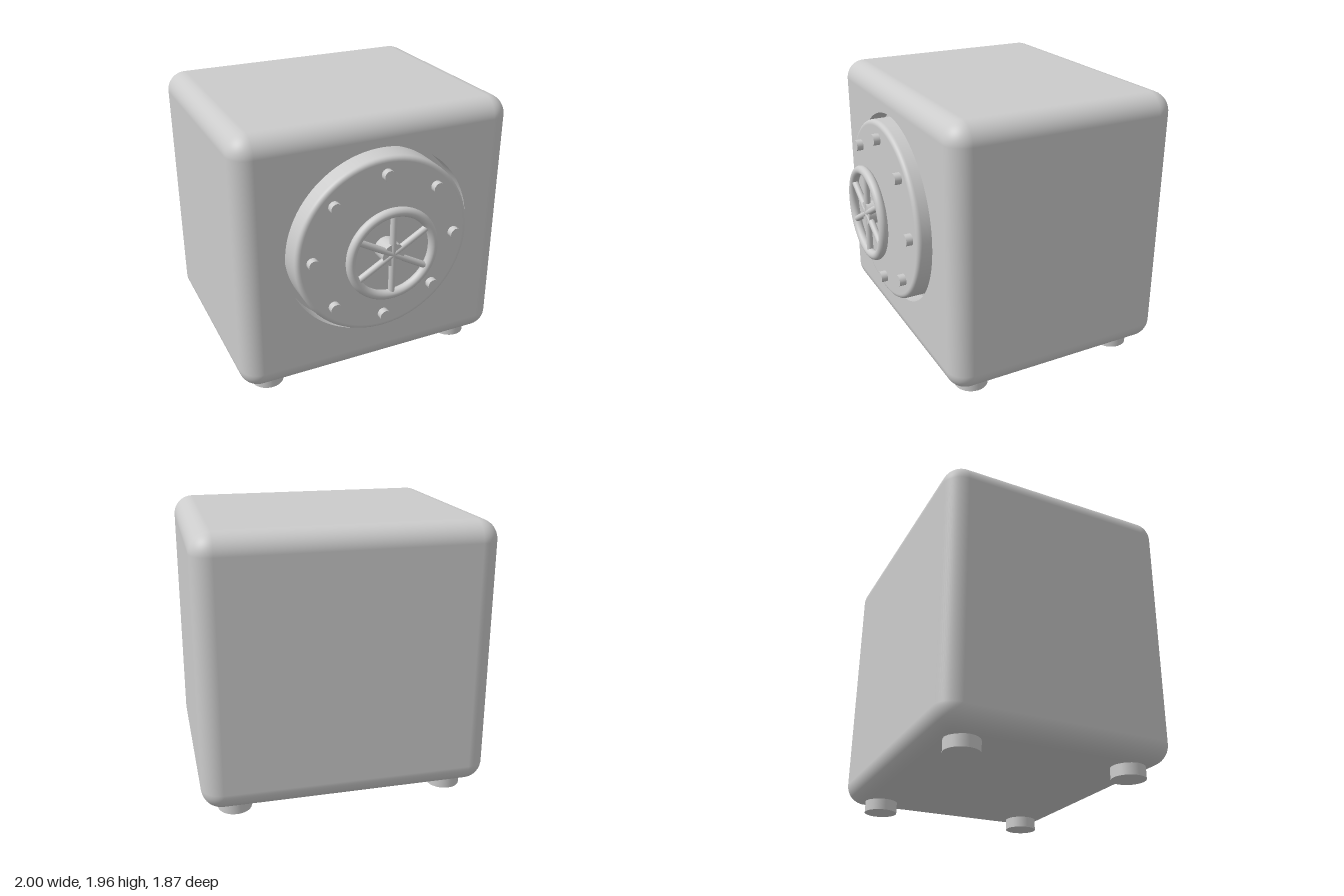
import * as THREE from 'three';
import { RoundedBoxGeometry } from 'three/addons/geometries/RoundedBoxGeometry.js';

const W = 2, H = 1.875, D = 1.645, R = 0.14;   // body size and edge radius
const BODY_Y = 1.0175, BODY_Z = -0.1125;       // body centre
const FRONT = BODY_Z + D / 2;                  // plane of the front face
const DOOR_Y = 1.075, DOOR_R = 0.645, DOOR_FRONT = 0.795;
const HOLE_R = 0.683, HOLE_BACK = FRONT - 0.12;
const WHEEL_Z = 0.903;

export function createModel() {
  const group = new THREE.Group();
  const grey = new THREE.MeshStandardMaterial({ color: 0xcccccc });
  const inner = new THREE.MeshStandardMaterial({ color: 0xcccccc, side: THREE.BackSide });

  const add = (name, geometry, x, y, z, parent = group, material = grey) => {
    const mesh = new THREE.Mesh(geometry, material);
    mesh.name = name;
    mesh.position.set(x, y, z);
    parent.add(mesh);
    return mesh;
  };
  // Cylinder lying along z between two depths
  const rod = (radius, z0, z1, sides = 32, open = false) =>
    new THREE.CylinderGeometry(radius, radius, z1 - z0, sides, 1, open)
      .rotateX(Math.PI / 2).translate(0, 0, (z0 + z1) / 2);

  // Rounded body with its flat front panel left out
  const shell = new RoundedBoxGeometry(W, H, D, 7, R);
  const p = shell.attributes.position;
  const n = shell.attributes.normal;
  const positions = [], normals = [];
  for (let i = 0; i < p.count; i += 3) {
    const corners = [i, i + 1, i + 2];
    if (corners.every(k => p.getZ(k) > D / 2 - 1e-5)) continue;
    for (const k of corners) {
      positions.push(p.getX(k), p.getY(k), p.getZ(k));
      normals.push(n.getX(k), n.getY(k), n.getZ(k));
    }
  }
  const bodyGeometry = new THREE.BufferGeometry();
  bodyGeometry.setAttribute('position', new THREE.Float32BufferAttribute(positions, 3));
  bodyGeometry.setAttribute('normal', new THREE.Float32BufferAttribute(normals, 3));
  add('body', bodyGeometry, 0, BODY_Y, BODY_Z);

  // Front panel with the round door opening
  const px = W / 2 - R, py = H / 2 - R;
  const panel = new THREE.Shape([
    new THREE.Vector2(-px, -py), new THREE.Vector2(px, -py),
    new THREE.Vector2(px, py), new THREE.Vector2(-px, py),
  ]);
  panel.holes.push(new THREE.Path().absarc(0, DOOR_Y - BODY_Y, HOLE_R, 0, Math.PI * 2, true));
  add('frontPanel', new THREE.ShapeGeometry(panel, 48), 0, BODY_Y, FRONT);

  // Recess behind the door
  add('recessWall', rod(HOLE_R, HOLE_BACK, FRONT, 96, true), 0, DOOR_Y, 0, group, inner);
  add('recessFloor', new THREE.CircleGeometry(HOLE_R, 96), 0, DOOR_Y, HOLE_BACK);

  // Round door with a softened front edge
  const bevel = 0.03;
  const profile = [new THREE.Vector2(DOOR_R, HOLE_BACK), new THREE.Vector2(DOOR_R, DOOR_FRONT - bevel - 0.004)];
  for (let i = 0; i <= 6; i++) {
    const a = (i / 6) * Math.PI / 2;
    profile.push(new THREE.Vector2(
      DOOR_R - bevel + bevel * Math.cos(a), DOOR_FRONT - bevel + bevel * Math.sin(a)));
  }
  profile.push(new THREE.Vector2(DOOR_R - bevel - 0.004, DOOR_FRONT), new THREE.Vector2(0, DOOR_FRONT));
  add('door', new THREE.LatheGeometry(profile, 96).rotateX(Math.PI / 2), 0, DOOR_Y, 0);

  // Ring of eight bolts
  const bolt = rod(0.04, DOOR_FRONT - 0.02, 0.842, 24);
  for (let i = 0; i < 8; i++) {
    const a = i * Math.PI / 4;
    add('bolt', bolt, 0.53 * Math.cos(a), DOOR_Y + 0.53 * Math.sin(a), 0);
  }

  // Handwheel: hub, rim and six spokes
  const wheel = new THREE.Group();
  wheel.name = 'handwheel';
  wheel.position.set(0, DOOR_Y, 0);
  group.add(wheel);
  add('hub', rod(0.08, DOOR_FRONT - 0.02, 0.92), 0, 0, 0, wheel);
  add('rim', new THREE.TorusGeometry(0.306, 0.033, 20, 72), 0, 0, WHEEL_Z, wheel);
  const spoke = new THREE.CylinderGeometry(0.023, 0.023, 0.3, 16).translate(0, 0.15, 0);
  for (let i = 0; i < 6; i++) {
    add('spoke', spoke, 0, 0, WHEEL_Z, wheel).rotation.z = i * Math.PI / 3;
  }

  // Four round feet
  const foot = new THREE.CylinderGeometry(0.117, 0.117, 0.11, 32);
  for (const x of [-0.765, 0.765]) {
    for (const z of [-0.7, 0.48]) add('foot', foot, x, 0.055, z);
  }

  return group;
}
